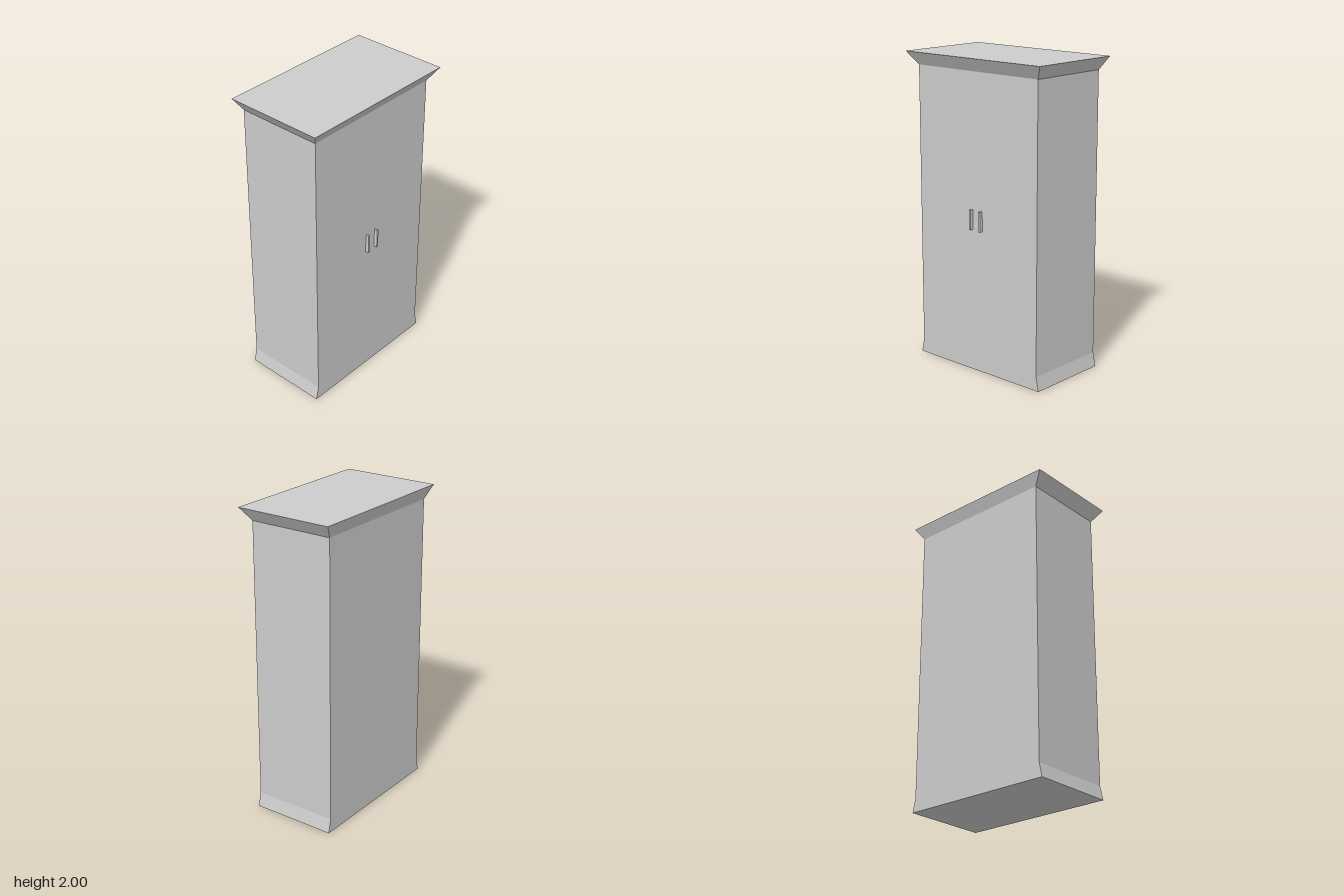
import * as THREE from 'three';

// Closed shell lofted through rectangular rings { y, x, back, front }, bottom to top
function loftRings(rings) {
  const corners = rings.map(({ y, x, back, front }) => [
    [-x, y, front], [x, y, front], [x, y, back], [-x, y, back],
  ]);
  const positions = [];
  const quad = (a, b, c, d) => positions.push(...a, ...b, ...c, ...a, ...c, ...d);
  for (let i = 0; i < corners.length - 1; i++) {
    const low = corners[i], high = corners[i + 1];
    for (let j = 0; j < 4; j++) {
      const k = (j + 1) % 4;
      quad(low[j], low[k], high[k], high[j]);
    }
  }
  const [b0, b1, b2, b3] = corners[0];
  quad(b3, b2, b1, b0);
  quad(...corners[corners.length - 1]);
  const geometry = new THREE.BufferGeometry();
  geometry.setAttribute('position', new THREE.Float32BufferAttribute(positions, 3));
  geometry.computeVertexNormals();
  return geometry;
}

export function createModel() {
  const group = new THREE.Group();
  group.name = 'wardrobe';
  const paint = new THREE.MeshStandardMaterial({ color: 0xcccccc });
  paint.name = 'light grey';

  // Cabinet: sideways-flared plinth, straight body, cornice flared all round
  const cabinet = new THREE.Mesh(loftRings([
    { y: 0, x: 0.511, back: -0.293, front: 0.27 },
    { y: 0.09, x: 0.491, back: -0.293, front: 0.27 },
    { y: 1.915, x: 0.491, back: -0.293, front: 0.27 },
    { y: 2, x: 0.551, back: -0.325, front: 0.325 },
  ]), paint);
  cabinet.name = 'cabinet';
  group.add(cabinet);

  // Mirrored pair of door handles
  for (const side of [-1, 1]) {
    const handle = new THREE.Mesh(new THREE.BoxGeometry(0.013, 0.128, 0.022), paint);
    handle.name = side > 0 ? 'leftHandle' : 'rightHandle';
    handle.position.set(side * 0.04, 0.992, 0.281);
    group.add(handle);
  }
  return group;
}
